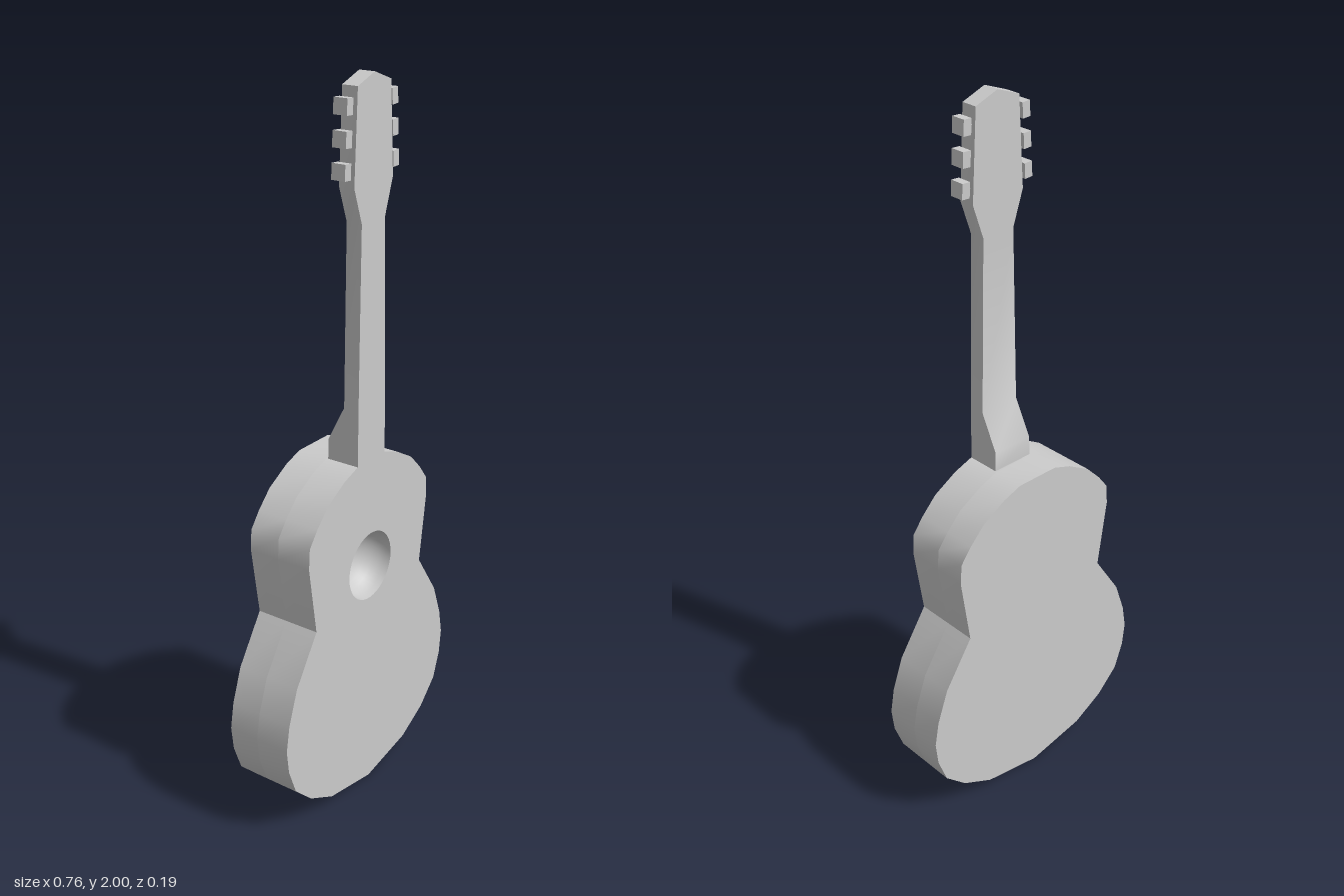
import * as THREE from 'three';
import { toCreasedNormals } from 'three/addons/utils/BufferGeometryUtils.js';

const FRONT = 0.095, BACK = -0.095;
const HOLE_Y = 0.69, HOLE_R = 0.098, HOLE_DEPTH = 0.1;

const material = new THREE.MeshStandardMaterial({ color: 0xcccccc });
const innerMaterial = new THREE.MeshStandardMaterial({ color: 0xcccccc, side: THREE.DoubleSide });

function addMesh(parent, name, geometry, mat = material) {
  const mesh = new THREE.Mesh(geometry, mat);
  mesh.name = name;
  parent.add(mesh);
  return mesh;
}

// Half outline of the body, bottom centre to neck joint
const halfBody = [
  [0, 0], [0.18, 0.034], [0.277, 0.087], [0.344, 0.153], [0.372, 0.23], [0.38, 0.3],
  [0.367, 0.373], [0.333, 0.468], [0.246, 0.6], [0.275, 0.796], [0.271, 0.854],
  [0.238, 0.897], [0.192, 0.944], [0.12, 0.985], [0.063, 1.005],
];

function bodySlab(zBack, zFront, withHole) {
  const mirrored = halfBody.slice(1).reverse().map(([x, y]) => [-x, y]);
  const shape = new THREE.Shape([...halfBody, ...mirrored].map(([x, y]) => new THREE.Vector2(x, y)));
  if (withHole) shape.holes.push(new THREE.Path().absarc(0, HOLE_Y, HOLE_R, 0, Math.PI * 2, true));
  const geometry = new THREE.ExtrudeGeometry(shape, {
    depth: zFront - zBack, bevelEnabled: false, curveSegments: 20,
  });
  geometry.translate(0, 0, zBack);
  return toCreasedNormals(geometry, 0.68);
}

// Neck, heel and head: rectangular sections of [y, half width, back z]
const neckRows = [
  [1.0, 0.062, 0], [1.06, 0.061, 0], [1.16, 0.06, 0.05], [1.645, 0.05, 0.05],
  [1.738, 0.082, 0.05], [1.975, 0.069, 0.05], [2.0, 0, 0.05],
];

function neckGeometry() {
  const positions = [], index = [];
  for (const [y, w, back] of neckRows) {
    positions.push(-w, y, FRONT, w, y, FRONT, w, y, back, -w, y, back);
  }
  for (let r = 0; r < neckRows.length - 1; r++) {
    for (let i = 0; i < 4; i++) {
      const a = r * 4 + i, b = r * 4 + (i + 1) % 4;
      index.push(a, b, b + 4, a, b + 4, a + 4);
    }
  }
  index.push(0, 3, 2, 0, 2, 1);
  const geometry = new THREE.BufferGeometry();
  geometry.setAttribute('position', new THREE.Float32BufferAttribute(positions, 3));
  geometry.setIndex(index);
  return toCreasedNormals(geometry, 0.6);
}

// Rounded hollow behind the sound hole
function hollowGeometry() {
  const points = [];
  for (let i = 0; i <= 8; i++) {
    const a = (i / 8) * Math.PI / 2;
    points.push(new THREE.Vector2(HOLE_R * Math.sin(a), -0.09 * Math.cos(a)));
  }
  return new THREE.LatheGeometry(points, 40).rotateX(Math.PI / 2);
}

function tuningPeg(side, y, headHalfWidth) {
  const peg = new THREE.Group();
  peg.name = side > 0 ? 'leftTuningPeg' : 'rightTuningPeg';
  addMesh(peg, 'pegShaft', new THREE.CylinderGeometry(0.01, 0.01, 0.03, 10).rotateZ(Math.PI / 2))
    .position.x = 0.005;
  addMesh(peg, 'pegKnob', new THREE.BoxGeometry(0.024, 0.04, 0.04)).position.x = 0.022;
  peg.position.set(side * headHalfWidth, y, 0.071);
  // Knobs follow the slant of the head's sides
  peg.rotation.set(0, side > 0 ? 0 : Math.PI, 0.055);
  return peg;
}

export function createModel() {
  const guitar = new THREE.Group();
  guitar.name = 'guitar';

  // Body in two layers, with the sound hole cut into the front one
  const body = new THREE.Group();
  body.name = 'body';
  guitar.add(body);
  addMesh(body, 'bodyFront', bodySlab(FRONT - HOLE_DEPTH, FRONT, true));
  addMesh(body, 'bodyBack', bodySlab(BACK, FRONT - HOLE_DEPTH, false));
  addMesh(body, 'soundHole', hollowGeometry(), innerMaterial).position.set(0, HOLE_Y, FRONT);

  addMesh(guitar, 'neckAndHead', neckGeometry());

  // Three tuning pegs on each side of the head
  for (const side of [1, -1]) {
    for (const [y, w] of [[1.93, 0.072], [1.854, 0.076], [1.778, 0.08]]) {
      guitar.add(tuningPeg(side, y, w));
    }
  }
  return guitar;
}
